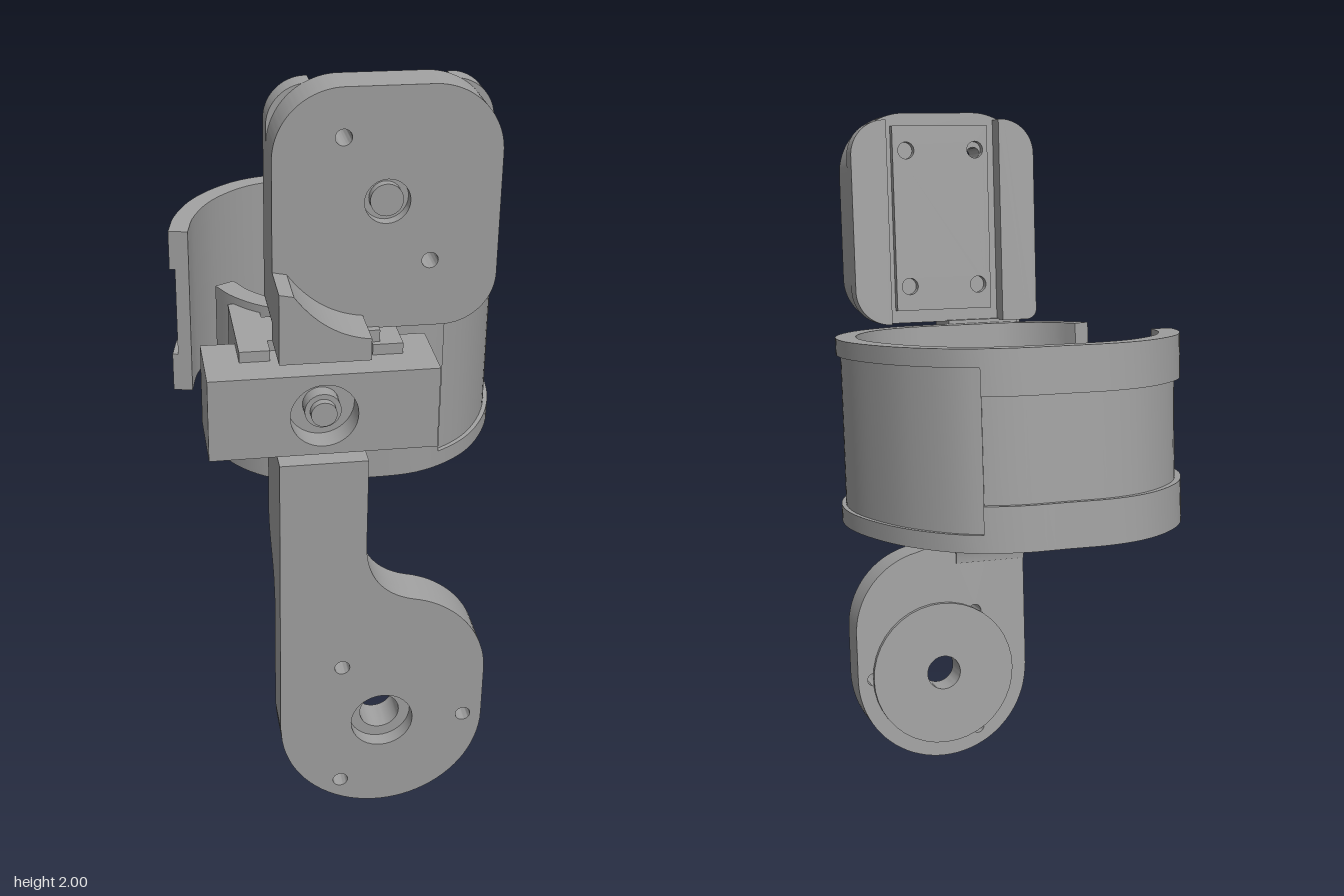
import * as THREE from 'three';
import { toCreasedNormals, mergeVertices } from 'three/addons/utils/BufferGeometryUtils.js';

const grey = new THREE.MeshStandardMaterial({ color: 0xa0a0a0 });
grey.name = 'plain grey';

export function createModel() {
  const model = new THREE.Group();
  model.name = 'armBrace';
  // the whole brace leans slightly forward
  const brace = new THREE.Group();
  brace.name = 'leaningBrace';
  brace.rotation.x = 0.085;
  model.add(brace);

  const add = (name, geo) => {
    const mesh = new THREE.Mesh(geo, grey);
    mesh.name = name;
    brace.add(mesh);
    return mesh;
  };
  // box given by its limits
  const box = (name, x0, x1, y0, y1, z0, z1) =>
    add(name, new THREE.BoxGeometry(x1 - x0, y1 - y0, z1 - z0)
      .translate((x0 + x1) / 2, (y0 + y1) / 2, (z0 + z1) / 2));
  // outline in the front plane, with round holes [x, y, r], from z0 to z1
  const slab = (name, shape, z0, z1, holes = []) => {
    const s = shape.clone();
    s.holes = holes.map(([x, y, r]) => new THREE.Path().absarc(x, y, r, 0, Math.PI * 2, true));
    const geo = new THREE.ExtrudeGeometry(s, { depth: z1 - z0, bevelEnabled: false, curveSegments: 20 });
    return add(name, toCreasedNormals(geo.translate(0, 0, z0), 0.5));
  };
  const disc = (name, x, y, r, z0, z1) =>
    add(name, new THREE.CylinderGeometry(r, r, z1 - z0, 32).rotateX(Math.PI / 2).translate(x, y, (z0 + z1) / 2));
  // rectangle with its own radius on each corner: tl, tr, br, bl
  const rounded = (x0, x1, y0, y1, tl, tr, br, bl) => {
    const s = new THREE.Shape(), q = Math.PI / 2;
    s.moveTo(x0 + bl, y0);
    s.lineTo(x1 - br, y0);
    if (br) s.absarc(x1 - br, y0 + br, br, -q, 0, false);
    s.lineTo(x1, y1 - tr);
    if (tr) s.absarc(x1 - tr, y1 - tr, tr, 0, q, false);
    s.lineTo(x0 + tl, y1);
    if (tl) s.absarc(x0 + tl, y1 - tl, tl, q, 2 * q, false);
    s.lineTo(x0, y0 + bl);
    if (bl) s.absarc(x0 + bl, y0 + bl, bl, 2 * q, 3 * q, false);
    return s;
  };

  // lower arm: round paddle narrowing to an upright bar
  const arm = new THREE.Shape();
  arm.moveTo(-0.24, 1.137);
  arm.lineTo(-0.24, 0.325);
  arm.absarc(0.033, 0.325, 0.272, Math.PI, Math.PI * 2, false);
  arm.lineTo(0.305, 0.47);
  arm.bezierCurveTo(0.305, 0.59, 0.22, 0.69, 0.11, 0.714);
  arm.bezierCurveTo(0.02, 0.735, -0.02, 0.8, -0.02, 0.89);
  arm.lineTo(-0.02, 1.137);
  const pins = [[-0.077, 0.513, 0.02], [-0.077, 0.134, 0.02], [0.255, 0.324, 0.02]];
  slab('lowerArmBack', arm, 0.395, 0.47, [[0.033, 0.327, 0.053], ...pins]);
  slab('lowerArmFront', arm, 0.47, 0.51, [[0.033, 0.327, 0.083], ...pins]);
  const round = new THREE.Shape().absarc(0.033, 0.325, 0.225, 0, Math.PI * 2, false);
  slab('pivotDisc', round, 0.38, 0.395, [[0.033, 0.327, 0.053], ...pins.map(([x, y]) => [x, y, 0.02]).slice(3)]);

  // thick upper end of the arm, swept into the paddle
  const web = new THREE.Shape();
  web.moveTo(0.4, 0.67);
  web.lineTo(0.4, 1.137);
  web.lineTo(0.27, 1.137);
  web.lineTo(0.27, 0.88);
  web.bezierCurveTo(0.27, 0.78, 0.385, 0.78, 0.39, 0.67);
  const webGeo = new THREE.ExtrudeGeometry(web, { depth: 0.22, bevelEnabled: false, curveSegments: 14 });
  add('armWeb', toCreasedNormals(webGeo.rotateY(-Math.PI / 2).translate(-0.02, 0, 0), 0.5));

  // upper plate with a channel down its back
  const plate = rounded(-0.24, 0.305, 1.433, 2.037, 0.17, 0.17, 0.13, 0.03);
  const plateHoles = [[-0.073, 1.918, 0.02], [0.14, 1.604, 0.02]];
  slab('upperPlateBack', plate, 0.27, 0.35, plateHoles);
  slab('upperPlateFront', plate, 0.35, 0.38, [[0.033, 1.758, 0.055], ...plateHoles]);
  disc('plateBoss', 0.033, 1.758, 0.04, 0.34, 0.372);
  slab('plateRailRight', rounded(-0.24, -0.135, 1.433, 2.015, 0.1, 0, 0, 0.03), 0.21, 0.27);
  slab('plateRailLeft', rounded(0.2, 0.305, 1.433, 2.015, 0, 0.1, 0.1, 0), 0.21, 0.27);
  const panelHoles = [];
  for (const x of [-0.072, 0.135]) for (const y of [1.54, 1.93]) panelHoles.push([x, y, 0.024]);
  slab('backPanel', rounded(-0.11, 0.175, 1.47, 2.0, 0, 0, 0, 0), 0.245, 0.27, panelHoles);

  // curved bracket in front of the plate's lower corner
  const bracket = new THREE.Shape();
  bracket.moveTo(-0.24, 1.412);
  bracket.lineTo(-0.02, 1.412);
  bracket.lineTo(-0.02, 1.468);
  bracket.quadraticCurveTo(-0.13, 1.48, -0.205, 1.585);
  bracket.lineTo(-0.24, 1.592);
  slab('bracket', bracket, 0.375, 0.51);
  box('bracketFoot', -0.19, 0.02, 1.4, 1.436, 0.25, 0.4);
  box('neck', -0.18, -0.07, 1.12, 1.42, 0.3, 0.43);

  // clamp block with its sunken screw
  const clamp = rounded(-0.41, 0.15, 1.162, 1.377, 0, 0, 0, 0);
  slab('clampFront', clamp, 0.44, 0.505, [[-0.13, 1.267, 0.083]]);
  slab('clampBack', clamp, 0.31, 0.44);
  disc('screwCollar', -0.13, 1.267, 0.045, 0.43, 0.48);
  disc('screwTip', -0.13, 1.267, 0.032, 0.43, 0.5);

  // mount joining the strap to the clamp
  box('mountBody', -0.325, 0.075, 1.13, 1.405, 0.225, 0.36);
  box('mountWallRight', -0.325, -0.25, 1.13, 1.405, 0.14, 0.415);
  box('mountWallLeft', 0.0, 0.075, 1.13, 1.405, 0.225, 0.415);

  add('strap', strapGeometry());
  return model;
}

// open cuff swept along a C-shaped path, with sunken outer panels
function strapGeometry() {
  const path = new THREE.CatmullRomCurve3([
    [-0.42, -0.31], [-0.395, -0.42], [-0.33, -0.55], [-0.22, -0.655], [-0.12, -0.693], [0, -0.695],
    [0.12, -0.693], [0.23, -0.65], [0.33, -0.53], [0.39, -0.38], [0.415, -0.24], [0.405, -0.1],
    [0.36, 0.03], [0.28, 0.14], [0.16, 0.21], [0, 0.222], [-0.14, 0.22], [-0.23, 0.18],
    [-0.29, 0.12], [-0.325, 0.055],
  ].map(([x, z]) => new THREE.Vector3(x, 0, z)));
  const N = 120, half = 0.0275, H = 0.2475, mid = 1.178;
  // rim width and panel depth of the three stretches
  const styles = { end: [0.115, 0.016], side: [0.045, 0.012], front: [0.045, 0] };
  const rings = [];
  const ring = (p, t, [rim, depth]) => {
    const o = half - depth;
    rings.push([[-half, -H], [half, -H], [half, -H + rim], [o, -H + rim],
      [o, H - rim], [half, H - rim], [half, H], [-half, H]]
      .map(([n, y]) => [p.x + t.z * n, mid + y, p.z - t.x * n]));
  };
  let last = null;
  for (let i = 0; i <= N; i++) {
    const p = path.getPointAt(i / N), t = path.getTangentAt(i / N);
    const style = p.z < -0.2 && p.x < 0.19 ? 'end' : p.x > 0.21 || (p.z < 0 && p.x > 0) ? 'side' : 'front';
    if (last && style !== last) ring(p, t, styles[last]);
    ring(p, t, styles[style]);
    last = style;
  }
  const pos = [];
  const quad = (a, b, c, d) => pos.push(...a, ...b, ...c, ...a, ...c, ...d);
  for (let i = 0; i < rings.length - 1; i++) {
    const A = rings[i], B = rings[i + 1];
    for (let j = 0; j < 8; j++) quad(A[j], A[(j + 1) % 8], B[(j + 1) % 8], B[j]);
  }
  const s = rings[0], e = rings[rings.length - 1];
  for (const [a, b, c, d] of [[0, 3, 4, 7], [0, 1, 2, 3], [7, 4, 5, 6]]) {
    quad(s[d], s[c], s[b], s[a]);
    quad(e[a], e[b], e[c], e[d]);
  }
  const geo = new THREE.BufferGeometry();
  geo.setAttribute('position', new THREE.Float32BufferAttribute(pos, 3));
  return toCreasedNormals(mergeVertices(geo), 0.5);
}
